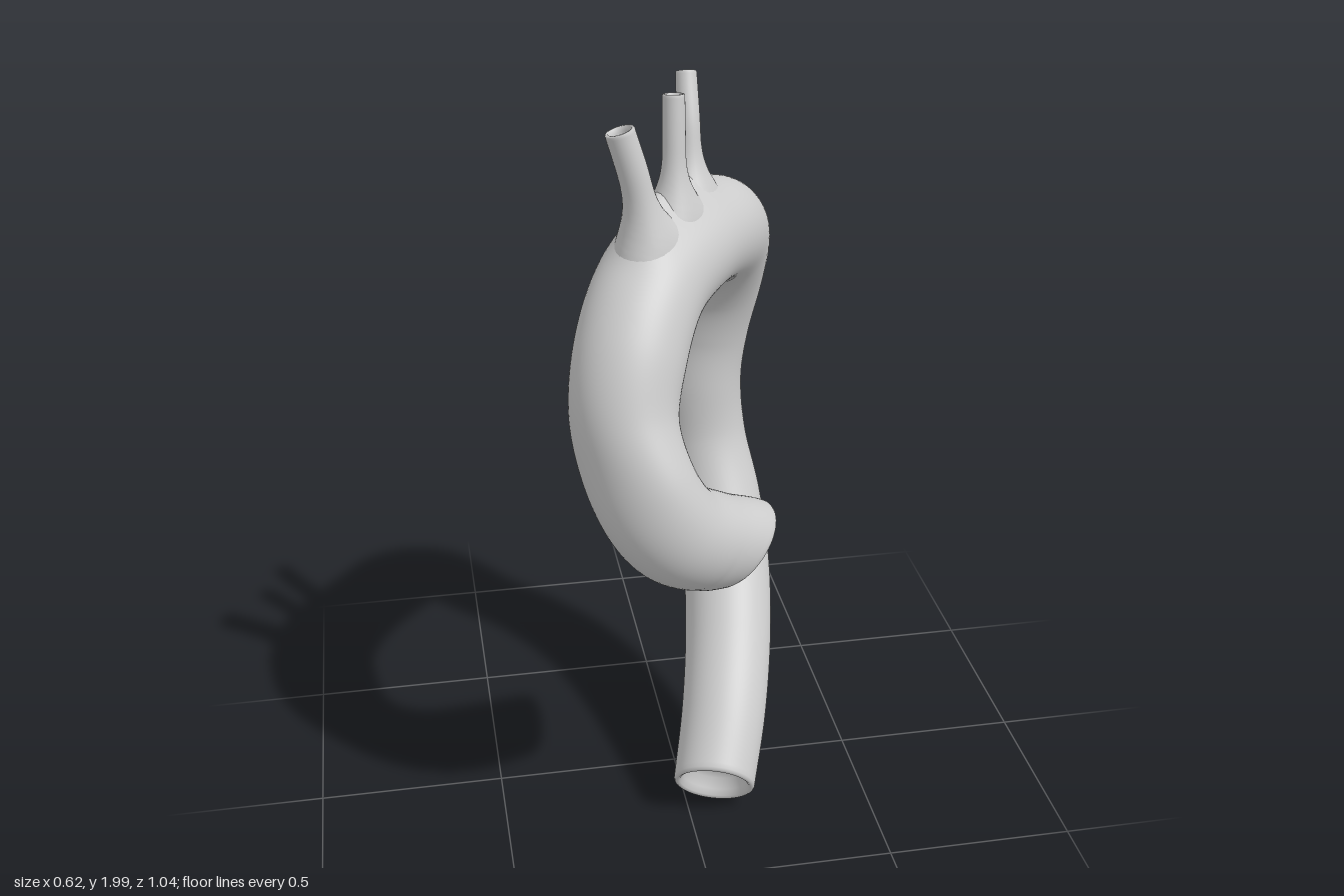
import * as THREE from 'three';

const material = new THREE.MeshStandardMaterial({ color: 0xcccccc, side: THREE.DoubleSide });
const { smoothstep } = THREE.MathUtils;

// Smooth path and radius through stations of [x, y, z, radius].
function makePath(stations) {
  const curve = new THREE.CatmullRomCurve3(stations.map(s => new THREE.Vector3(s[0], s[1], s[2])));
  const radii = new THREE.CatmullRomCurve3(stations.map(s => new THREE.Vector3(s[3], 0, 0)), false, 'catmullrom', 0.5);
  return { curve, radiusAt: u => radii.getPoint(curve.getUtoTmapping(u)).x };
}

// Sweeps circles along a path. Each end is { normal, cap }: the normal tilts the cut,
// cap lists [outward offset, radius factor] rings. adjust(point, outward) moves vertices.
function sweep(name, { curve, radiusAt }, segments, sides, { start = {}, end = {}, adjust }) {
  const frames = curve.computeFrenetFrames(segments, false);
  const length = curve.getLength();
  const positions = [];
  const index = [];
  let rows = 0;

  function addRing(i, offset, factor) {
    const u = i / segments;
    const T = frames.tangents[i], N = frames.normals[i], B = frames.binormals[i];
    const radius = radiusAt(u) * factor;
    const centre = curve.getPointAt(u).addScaledVector(T, offset);
    // tilt of the end cuts fades out along the tube
    const cut = u < 0.5 ? start.normal : end.normal;
    const weight = 1 - smoothstep(Math.min(u, 1 - u) * length, 0, 0.22);
    for (let j = 0; j < sides; j++) {
      const a = (j / sides) * Math.PI * 2;
      const outward = new THREE.Vector3().addScaledVector(N, Math.cos(a)).addScaledVector(B, Math.sin(a));
      const p = outward.clone().multiplyScalar(radius);
      if (cut) p.addScaledVector(T, (-p.dot(cut) / T.dot(cut)) * weight);
      p.add(centre);
      adjust(p, outward);
      positions.push(p.x, p.y, p.z);
    }
    rows++;
  }

  [...(start.cap || [])].reverse().forEach(([o, f]) => addRing(0, -o, f));
  for (let i = 0; i <= segments; i++) addRing(i, 0, 1);
  (end.cap || []).forEach(([o, f]) => addRing(segments, o, f));

  for (let i = 0; i < rows - 1; i++) {
    for (let j = 0; j < sides; j++) {
      const k = (j + 1) % sides;
      const a = i * sides + j, b = i * sides + k;
      index.push(a, b, a + sides, b, b + sides, a + sides);
    }
  }
  const geometry = new THREE.BufferGeometry();
  geometry.setAttribute('position', new THREE.Float32BufferAttribute(positions, 3));
  geometry.setIndex(index);
  geometry.computeVertexNormals();
  const mesh = new THREE.Mesh(geometry, material);
  mesh.name = name;
  return mesh;
}

// Raises a soft ridge on the arch between the branches and flattens the ascending part diagonally.
const ridge = new THREE.Line3(new THREE.Vector3(-0.1, 0, 0.155), new THREE.Vector3(0.04, 0, -0.015));
const across = new THREE.Vector3(1, 0, -1).normalize();
const along = new THREE.Vector3(1, 0, 1).normalize();
function shapeVessel(p, outward) {
  const flat = new THREE.Vector3(p.x, 0, p.z);
  const distance = flat.distanceTo(ridge.closestPointToPoint(flat, true, new THREE.Vector3()));
  const lift = 0.052 * Math.exp(-((distance / 0.055) ** 2)) * smoothstep(p.y, 1.56, 1.66);
  const squash = 0.018 * Math.exp(-(((p.y - 1.17) / 0.15) ** 2)) * smoothstep(p.z, 0.08, 0.2);
  p.addScaledVector(across, -squash * outward.dot(across));
  p.addScaledVector(along, 0.6 * squash * outward.dot(along));
  p.y += lift;
}

// Returns a rule that spreads the foot of a branch into a fillet lying on the vessel surface.
function makeFillet({ curve, radiusAt }, reach, spread) {
  const samples = [];
  for (let i = 0; i <= 400; i++) samples.push({ centre: curve.getPointAt(i / 400), radius: radiusAt(i / 400) });
  const nearest = p => samples.reduce((best, s) =>
    (p.distanceToSquared(s.centre) < p.distanceToSquared(best.centre) ? s : best));
  return (p, outward) => {
    const near = nearest(p);
    const height = Math.max(p.distanceTo(near.centre) - near.radius, -0.002);
    if (height > reach) return;
    p.addScaledVector(outward, spread * (1 - Math.max(height, 0) / reach) ** 3);
    const { centre, radius } = nearest(p);
    p.sub(centre).setLength(radius + height).add(centre);
  };
}

export function createModel() {
  const group = new THREE.Group();
  group.name = 'aorta';

  // main vessel: root, ascending part, arch, descending part
  const vessel = makePath([
    [0.12, 0.88, 0.272, 0.116],
    [0.03, 0.925, 0.32, 0.127],
    [-0.07, 1.0, 0.373, 0.134],
    [-0.142, 1.12, 0.375, 0.134],
    [-0.178, 1.27, 0.322, 0.131],
    [-0.15, 1.42, 0.247, 0.137],
    [-0.08, 1.54, 0.135, 0.137],
    [0.03, 1.59, 0.0, 0.136],
    [0.12, 1.57, -0.14, 0.138],
    [0.16, 1.49, -0.275, 0.143],
    [0.165, 1.36, -0.364, 0.142],
    [0.147, 1.2, -0.395, 0.132],
    [0.135, 1.05, -0.388, 0.123],
    [0.15, 0.87, -0.368, 0.119],
    [0.178, 0.7, -0.297, 0.122],
    [0.183, 0.55, -0.187, 0.122],
    [0.162, 0.4, -0.045, 0.12],
    [0.12, 0.25, 0.11, 0.116],
    [0.068, 0.107, 0.243, 0.111],
  ]);
  const root = {
    normal: new THREE.Vector3(0.71, -0.7, -0.05).normalize(),
    cap: [[0.008, 0.97], [0.013, 0.91], [0.012, 0.84], [0.006, 0.77], [0.003, 0.65], [0.002, 0]],
  };
  const outlet = {
    normal: new THREE.Vector3(-0.26, -0.52, 0.82).normalize(),
    cap: [[0.006, 0.97], [0.009, 0.92], [0.004, 0.85], [-0.012, 0.79], [-0.04, 0.72], [-0.056, 0.5], [-0.06, 0]],
  };
  group.add(sweep('mainVessel', vessel, 240, 64, { start: root, end: outlet, adjust: shapeVessel }));

  // three hollow branches blending into the top of the arch
  const mouth = { cap: [[0.003, 0.95], [0.003, 0.8], [-0.01, 0.72], [-0.1, 0.68], [-0.1, 0]] };
  const adjust = makeFillet(vessel, 0.15, 0.055);
  const branches = {
    frontBranch: [
      [-0.09, 1.56, 0.162, 0.037],
      [-0.1, 1.68, 0.164, 0.037],
      [-0.121, 1.81, 0.164, 0.037],
      [-0.155, 1.93, 0.162, 0.036],
    ],
    middleBranch: [
      [-0.015, 1.64, 0.088, 0.028],
      [-0.015, 1.75, 0.078, 0.028],
      [-0.012, 1.86, 0.062, 0.028],
      [-0.01, 1.975, 0.045, 0.027],
    ],
    rearBranch: [
      [0.04, 1.66, -0.012, 0.029],
      [0.04, 1.76, -0.02, 0.029],
      [0.042, 1.87, -0.042, 0.029],
      [0.045, 1.99, -0.092, 0.026],
    ],
  };
  for (const [name, stations] of Object.entries(branches)) {
    group.add(sweep(name, makePath(stations), 60, 28, { end: mouth, adjust }));
  }
  return group;
}
